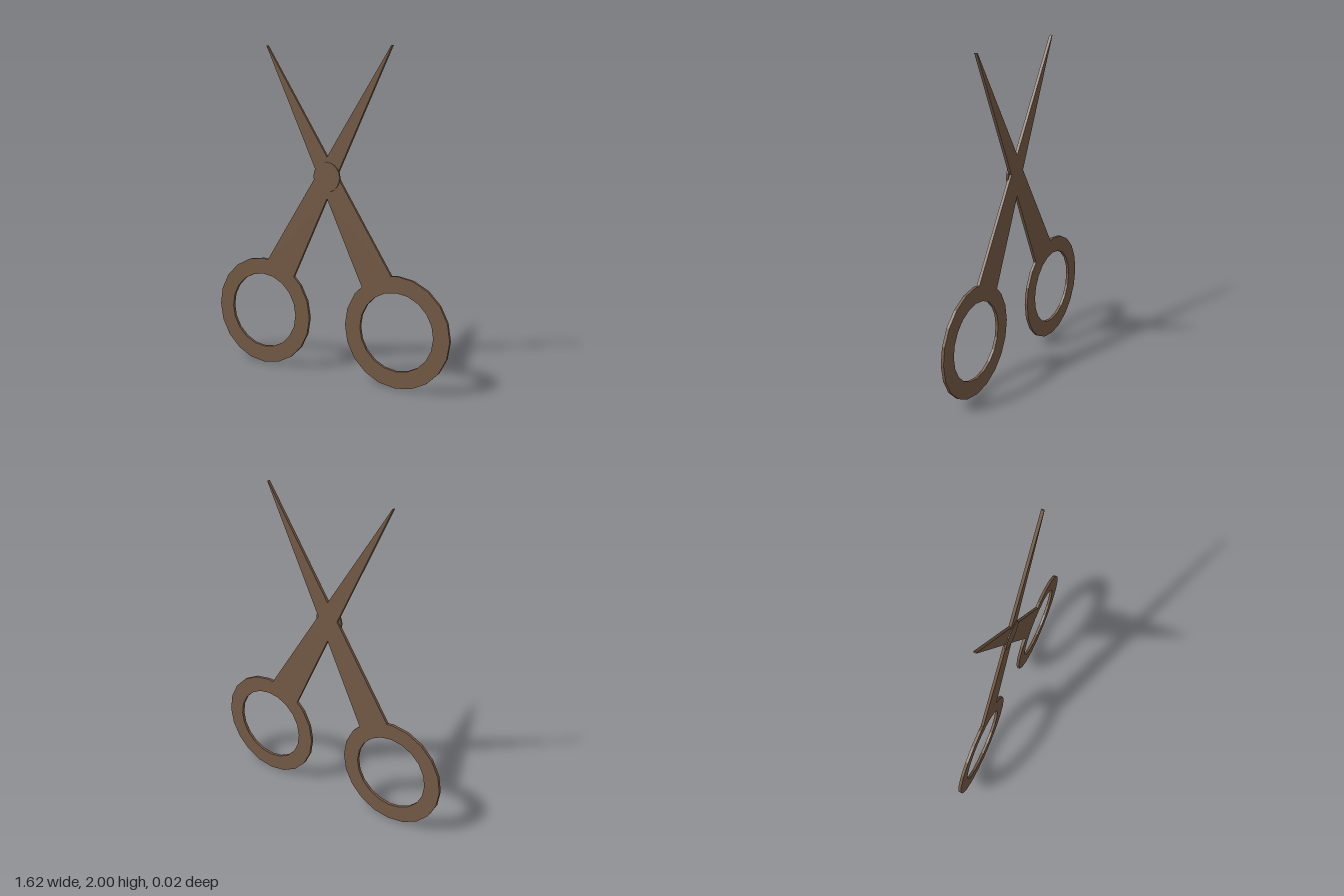
import * as THREE from 'three';

const BACK = -0.012, FRONT = 0.006;

// Regular polygon outline, used for the finger rings
function circlePoints(cx, cy, r, sides) {
  return Array.from({ length: sides }, (_, i) => {
    const a = (i / sides) * Math.PI * 2;
    return new THREE.Vector2(cx + r * Math.cos(a), cy + r * Math.sin(a));
  });
}

export function createModel() {
  const group = new THREE.Group();
  group.name = 'scissors';
  const metal = new THREE.MeshStandardMaterial({ color: 0x735944, flatShading: true });

  function plate(name, shape, parent) {
    const geometry = new THREE.ExtrudeGeometry(shape, { depth: FRONT - BACK, bevelEnabled: false });
    geometry.translate(0, 0, BACK);
    const mesh = new THREE.Mesh(geometry, metal);
    mesh.name = name;
    parent.add(mesh);
  }

  for (const side of [1, -1]) {
    const half = new THREE.Group();
    half.name = side > 0 ? 'leftHalf' : 'rightHalf';

    // Long tapered blade and shank, crossing the centre line
    const outline = [[-0.424, 2], [-0.418, 2], [0, 1.35], [0.442, 0.662], [0.255, 0.557], [0, 1.1]];
    plate('blade', new THREE.Shape(outline.map(([x, y]) => new THREE.Vector2(x * side, y))), half);

    // Finger ring
    const ring = new THREE.Shape(circlePoints(0.468 * side, 0.341, 0.341, 20));
    ring.holes.push(new THREE.Path(circlePoints(0.468 * side, 0.343, 0.239, 20)));
    plate('fingerRing', ring, half);
    group.add(half);
  }

  // Pivot disc raised from the front face
  const pivot = new THREE.Mesh(new THREE.CylinderGeometry(0.09, 0.09, 0.012, 20), metal);
  pivot.name = 'pivot';
  pivot.rotation.x = Math.PI / 2;
  pivot.position.set(0, 1.23, 0.006);
  group.add(pivot);

  return group;
}
